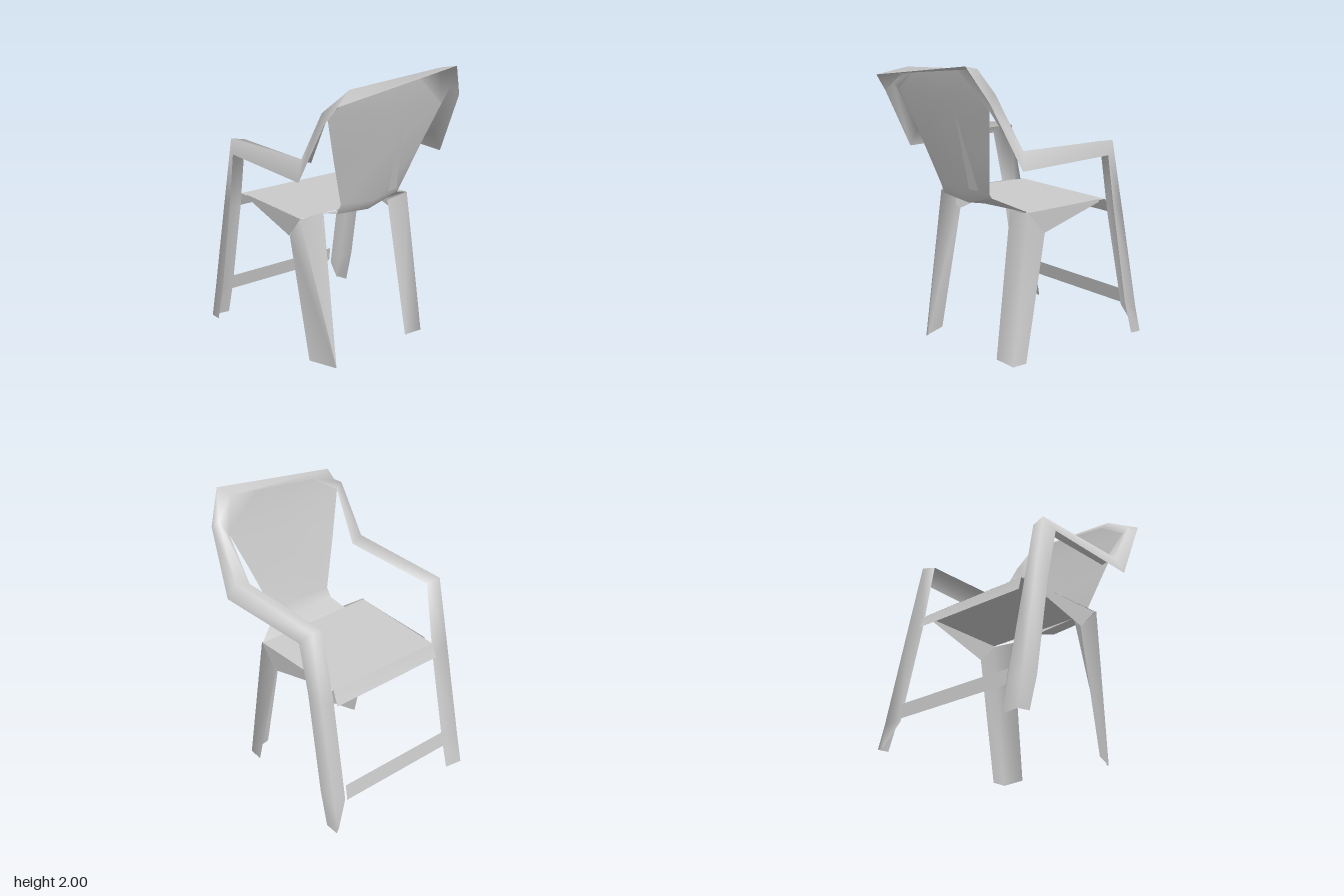
import * as THREE from 'three';

const material = new THREE.MeshStandardMaterial({ color: 0xcccccc, side: THREE.DoubleSide });

// Skin a thin sheet over rows of points (each row has the same count).
function sheet(name, rows) {
  const n = rows[0].length, index = [];
  for (let r = 0; r < rows.length - 1; r++) {
    for (let c = 0; c < n - 1; c++) {
      const a = r * n + c, b = a + 1, d = a + n, e = d + 1;
      index.push(a, b, e, a, e, d);
    }
  }
  const g = new THREE.BufferGeometry();
  g.setAttribute('position', new THREE.Float32BufferAttribute(rows.flat(2), 3));
  g.setIndex(index);
  g.computeVertexNormals();
  const mesh = new THREE.Mesh(g, material);
  mesh.name = name;
  return mesh;
}

const mirrorRow = (row) => row.map(([x, y, z]) => [-x, y, z]);

export function createModel() {
  const chair = new THREE.Group();
  chair.name = 'armchair';

  // One folded strip: front leg, arm, stile and top rail. Each section is inner edge, crown, outer edge.
  const side = [
    [[0.45, 0.9, -0.51], [0.57, 0.95, -0.53], [0.59, 1.0, -0.42]],
    [[0.46, 1.42, -0.41], [0.56, 1.44, -0.43], [0.6, 1.35, -0.35]],
    [[0.46, 1.43, 0.35], [0.56, 1.46, 0.37], [0.605, 1.34, 0.41]],
  ];
  const leftRun = [
    [[0.57, 0.03, -0.7], [0.6, 0.02, -0.715], [0.605, 0.03, -0.62]],
    [[0.47, 0.2, -0.65], [0.585, 0.2, -0.68], [0.6, 0.28, -0.55]],
    ...side,
    [[0.46, 1.72, 0.56], [0.53, 1.83, 0.57], [0.55, 1.78, 0.63]],
    [[0.2, 1.95, 0.6], [0.4, 1.975, 0.605], [0.43, 2.0, 0.72]],
  ];
  const rightRun = [
    [[-0.46, 0.02, -0.7], [-0.59, 0.02, -0.72], [-0.6, 0.03, -0.62]],
    [[-0.45, 0.25, -0.65], [-0.585, 0.25, -0.67], [-0.6, 0.28, -0.55]],
    ...side.map(mirrorRow),
    [[-0.5, 1.77, 0.57], [-0.55, 1.81, 0.58], [-0.57, 1.75, 0.63]],
    [[-0.3, 1.9, 0.59], [-0.35, 1.93, 0.6], [-0.54, 1.87, 0.72]],
  ];
  chair.add(sheet('armFrame', [...leftRun, ...rightRun.reverse()]));

  // Backrest panel, hollowed towards the middle
  chair.add(sheet('backrest', [
    [[-0.27, 1.05, 0.37], [0, 1.03, 0.37], [0.25, 1.1, 0.37]],
    [[-0.26, 1.12, 0.4], [0, 1.11, 0.43], [0.25, 1.13, 0.39]],
    [[-0.38, 1.45, 0.48], [0, 1.45, 0.5], [0.36, 1.45, 0.48]],
    [[-0.5, 1.77, 0.57], [0, 1.75, 0.57], [0.46, 1.72, 0.56]],
    [[-0.3, 1.9, 0.59], [-0.05, 1.925, 0.595], [0.2, 1.95, 0.6]],
  ]));

  // Narrow wedge on the rear of the backrest
  chair.add(sheet('backWedge', [
    [[0.105, 1.15, 0.445], [0.19, 1.15, 0.435]],
    [[0.12, 1.68, 0.57], [0.122, 1.68, 0.57]],
  ]));

  // Seat, its rear rise and front lip
  chair.add(sheet('seat', [
    [[-0.44, 1.0, -0.51], [0, 1.0, -0.505], [0.44, 1.0, -0.495]],
    [[-0.465, 1.02, 0.23], [0, 1.02, 0.23], [0.46, 1.02, 0.23]],
  ]));
  chair.add(sheet('seatRise', [
    [[-0.28, 1.02, 0.23], [0, 1.0, 0.23], [0.46, 1.02, 0.23]],
    [[-0.27, 1.05, 0.37], [0, 1.03, 0.37], [0.25, 1.1, 0.37]],
  ]));
  chair.add(sheet('seatLip', [
    [[-0.45, 0.9, -0.545], [0.45, 0.9, -0.545]],
    [[-0.44, 1.0, -0.51], [0.44, 1.0, -0.495]],
  ]));

  // Rear legs: a back wall folded into a side wall
  chair.add(sheet('leftRearLeg', [
    [[0.33, 0.01, 0.4], [0.49, 0, 0.39], [0.495, 0, 0.28]],
    [[0.28, 1.0, 0.24], [0.46, 1.02, 0.24], [0.46, 0.86, 0.09]],
  ]));
  chair.add(sheet('rightRearLeg', [
    [[-0.35, 0.005, 0.47], [-0.36, 0, 0.48], [-0.435, 0, 0.28]],
    [[-0.28, 1.03, 0.24], [-0.475, 1.02, 0.24], [-0.45, 0.86, 0.09]],
  ]));

  // Tapered side rails under the seat
  for (const [name, s] of [['leftSeatRail', 1], ['rightSeatRail', -1]]) {
    chair.add(sheet(name, [
      [[s * 0.46, 1.02, 0.24], [s * 0.455, 0.86, 0.09]],
      [[s * 0.445, 1.01, -0.43], [s * 0.445, 0.99, -0.43]],
    ]));
  }

  // Stretcher between the front legs
  chair.add(sheet('stretcher', [
    [[-0.46, 0.21, -0.675], [0.47, 0.21, -0.67]],
    [[-0.46, 0.32, -0.655], [0.465, 0.32, -0.65]],
  ]));

  return chair;
}
